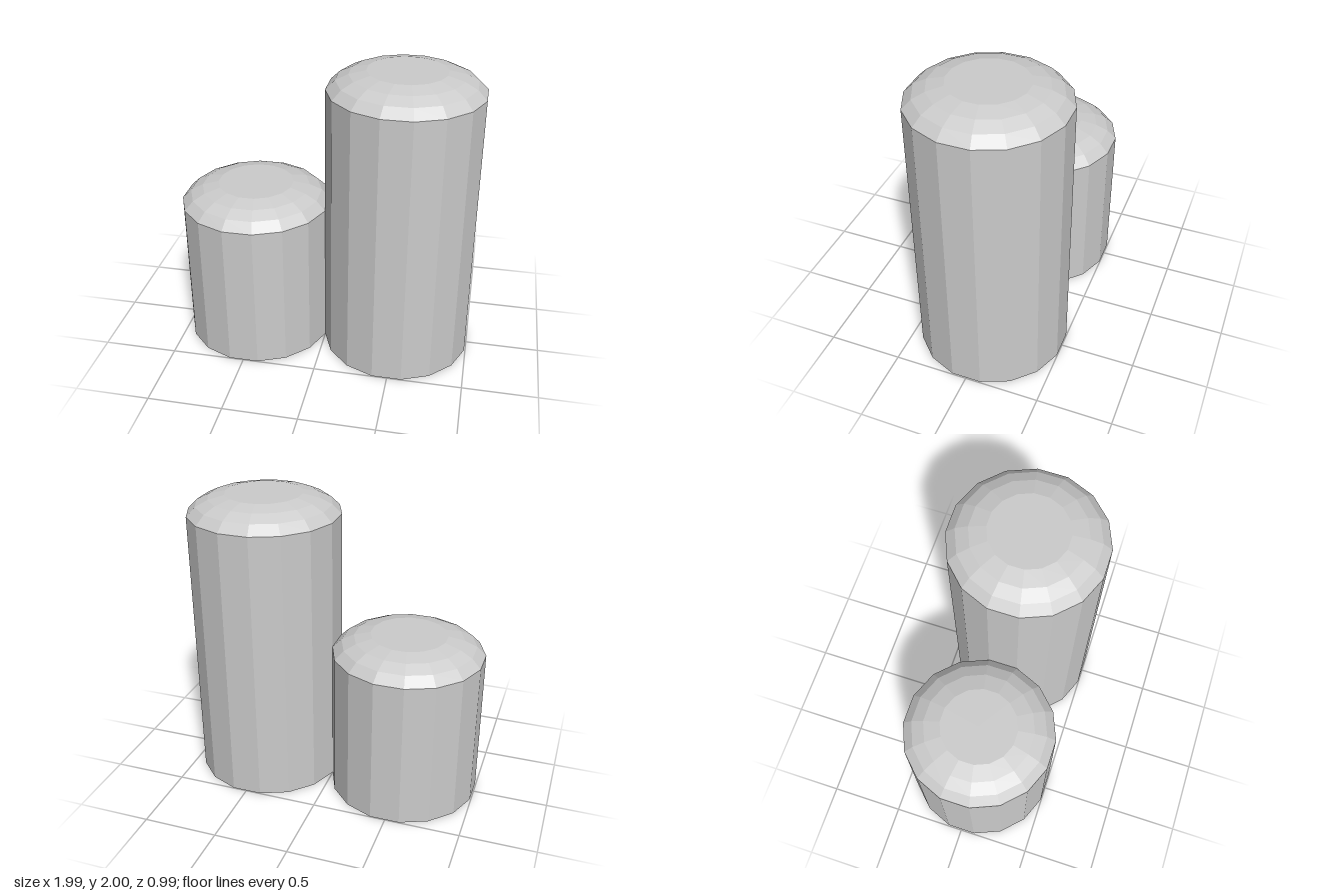
import * as THREE from 'three';

const SIDES = 16;
const STEP = (Math.PI * 2) / SIDES;
const APOTHEM = 0.4965; // axis to flat face
const toCorner = 1 / Math.cos(STEP / 2);
const RADIUS = APOTHEM * toCorner;
const LOW_WALL = 1.015;
const TALL_WALL = 1.875;

export function createModel() {
  const model = new THREE.Group();
  const material = new THREE.MeshStandardMaterial({
    color: 0xcccccc, flatShading: true, side: THREE.DoubleSide,
  });

  const add = (parent, name, geometry, y) => {
    const mesh = new THREE.Mesh(geometry, material);
    mesh.name = name;
    mesh.position.y = y;
    parent.add(mesh);
  };

  // Open tube; skips `gap` facets, starting with the one facing angle `facing`
  const wall = (height, facing, gap) => new THREE.CylinderGeometry(
    RADIUS, RADIUS, height, SIDES - gap, 1, true,
    facing + STEP * (gap - 0.5), STEP * (SIDES - gap));

  // Shallow faceted cap with a flat top
  const dome = () => new THREE.LatheGeometry(
    [[APOTHEM, 0], [0.437, 0.06], [0.357, 0.1], [0.25, 0.125], [0, 0.125]]
      .map(([r, y]) => new THREE.Vector2(r * toCorner, y)),
    SIDES, STEP / 2);

  // The two tubes open into each other through their shared facet
  for (const [name, side, height] of [['shortColumn', -1, LOW_WALL], ['tallColumn', 1, TALL_WALL]]) {
    const column = new THREE.Group();
    column.name = name;
    column.position.x = side * APOTHEM;
    const facing = -side * Math.PI / 2;
    add(column, 'lowerWall', wall(LOW_WALL, facing, 1), LOW_WALL / 2);
    if (height > LOW_WALL) {
      add(column, 'upperWall', wall(height - LOW_WALL, facing, 0), (height + LOW_WALL) / 2);
    }
    add(column, 'domedCap', dome(), height);
    model.add(column);
  }
  return model;
}
